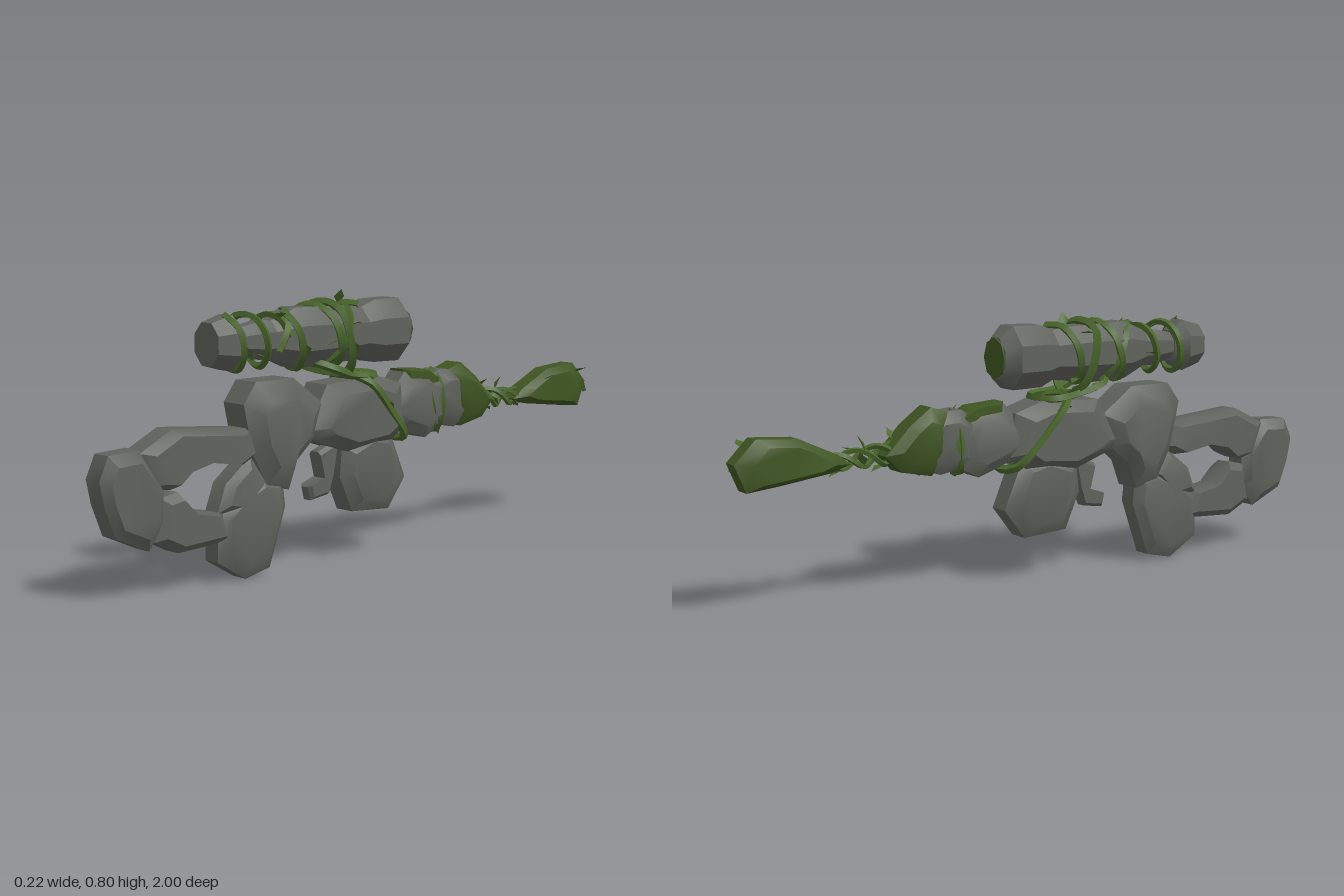
import * as THREE from 'three';
import { toCreasedNormals } from 'three/addons/utils/BufferGeometryUtils.js';

export function createModel() {
  const model = new THREE.Group();
  const stoneMat = new THREE.MeshStandardMaterial({ color: 0x5f625c });
  stoneMat.name = 'stone grey';
  const mossMat = new THREE.MeshStandardMaterial({ color: 0x3f5522 });
  mossMat.name = 'moss green';
  const vineMat = new THREE.MeshStandardMaterial({ color: 0x49662b });
  vineMat.name = 'vine green';
  const leafMat = new THREE.MeshStandardMaterial({ color: 0x49662b, side: THREE.DoubleSide });
  leafMat.name = 'leaf green';

  function add(name, geometry, material) {
    const mesh = new THREE.Mesh(geometry, material);
    mesh.name = name;
    model.add(mesh);
    return mesh;
  }

  // Chiselled stone: a side outline of [z, y] points, narrowed towards both flanks
  function stone(name, outline, w, material = stoneMat, inset = 0.62) {
    const pts = outline.map(([z, y]) => new THREE.Vector2(z, y));
    if (THREE.ShapeUtils.area(pts) < 0) pts.reverse();
    const n = pts.length;
    const mid = pts.reduce((s, p) => s.add(p), new THREE.Vector2()).divideScalar(n);
    const rings = [[-w, inset], [-w * 0.55, 1], [w * 0.55, 1], [w, inset]];
    const pos = [], idx = [];
    for (const [x, s] of rings) {
      for (const p of pts) pos.push(x, mid.y + (p.y - mid.y) * s, mid.x + (p.x - mid.x) * s);
    }
    for (let r = 0; r < 3; r++) {
      for (let i = 0; i < n; i++) {
        const j = (i + 1) % n, a = r * n, b = a + n;
        idx.push(a + i, b + i, b + j, a + i, b + j, a + j);
      }
    }
    for (const [a, b, c] of THREE.ShapeUtils.triangulateShape(pts, [])) {
      idx.push(a, b, c, 3 * n + a, 3 * n + c, 3 * n + b);
    }
    const g = new THREE.BufferGeometry();
    g.setAttribute('position', new THREE.Float32BufferAttribute(pos, 3));
    g.setIndex(idx);
    return add(name, toCreasedNormals(g, 0.65), material);
  }

  // Shoulder stock
  stone('buttStone', [[1, 0.34], [0.97, 0.405], [0.87, 0.41], [0.79, 0.31], [0.79, 0.2],
    [0.84, 0.13], [0.95, 0.18], [0.985, 0.27]], 0.055, stoneMat, 0.75);
  stone('stockUpperStone', [[0.87, 0.4], [0.76, 0.455], [0.48, 0.43], [0.45, 0.36], [0.51, 0.33],
    [0.63, 0.35], [0.72, 0.33], [0.77, 0.29], [0.84, 0.3]], 0.06, stoneMat, 0.8);
  stone('stockLowerStone', [[0.8, 0.27], [0.74, 0.28], [0.68, 0.22], [0.58, 0.2], [0.55, 0.12],
    [0.74, 0.11], [0.82, 0.15]], 0.05, stoneMat, 0.75);
  stone('gripLinkStone', [[0.6, 0.2], [0.57, 0.28], [0.48, 0.35], [0.41, 0.28], [0.5, 0.18]], 0.05);

  // Grip, trigger and magazine
  stone('gripStone', [[0.6, 0.19], [0.52, 0.25], [0.43, 0.29], [0.36, 0.28], [0.35, 0.19],
    [0.41, 0.02], [0.5, 0], [0.6, 0.06]], 0.05, stoneMat, 0.75);
  stone('triggerStone', [[0.21, 0.33], [0.13, 0.36], [0.15, 0.26], [0.17, 0.2], [0.24, 0.19],
    [0.25, 0.23], [0.19, 0.25]], 0.025, stoneMat, 0.85);
  stone('magazineStone', [[0.13, 0.34], [0.02, 0.38], [-0.07, 0.36], [-0.13, 0.22], [-0.06, 0.13],
    [0.09, 0.14], [0.14, 0.25]], 0.06, stoneMat, 0.7);

  // Receiver
  stone('receiverRearStone', [[0.515, 0.5], [0.47, 0.56], [0.33, 0.56], [0.22, 0.48], [0.25, 0.38],
    [0.32, 0.32], [0.35, 0.24], [0.43, 0.26], [0.485, 0.36]], 0.08);
  stone('receiverFrontStone', [[0.28, 0.4], [0.2, 0.53], [0, 0.54], [-0.1, 0.51], [-0.12, 0.38],
    [-0.06, 0.34], [0.12, 0.325], [0.25, 0.37]], 0.082, stoneMat, 0.7);

  // Barrel
  stone('barrelRearStone', [[-0.02, 0.42], [-0.13, 0.54], [-0.23, 0.53], [-0.3, 0.48], [-0.28, 0.36],
    [-0.22, 0.33], [-0.1, 0.37]], 0.058);
  stone('barrelMossPatch', [[-0.13, 0.547], [-0.23, 0.54], [-0.285, 0.51], [-0.28, 0.49],
    [-0.13, 0.51]], 0.045, mossMat, 0.8);
  stone('barrelMiddleStone', [[-0.22, 0.5], [-0.28, 0.535], [-0.36, 0.53], [-0.43, 0.46],
    [-0.41, 0.38], [-0.35, 0.35], [-0.24, 0.37]], 0.055);
  stone('barrelMossStone', [[-0.32, 0.53], [-0.38, 0.55], [-0.45, 0.5], [-0.53, 0.42],
    [-0.48, 0.37], [-0.38, 0.35], [-0.33, 0.4]], 0.056, mossMat);
  stone('muzzleMossStone', [[-0.64, 0.41], [-0.68, 0.44], [-0.8, 0.495], [-0.93, 0.505],
    [-0.995, 0.44], [-0.96, 0.36], [-0.86, 0.37], [-0.7, 0.39]], 0.046, mossMat, 0.7);

  // Scope: eight-sided stones turned around its sight line, given as [z, radius]
  const axisY = 0.672;
  function turned(name, profile, squash = 0.88) {
    const pts = profile.map(([z, r]) => new THREE.Vector2(r, z));
    const g = new THREE.LatheGeometry(pts, 8, Math.PI / 8);
    g.deleteAttribute('normal');
    g.rotateX(Math.PI / 2);
    g.scale(squash, 1, 1);
    g.translate(0, axisY, 0);
    return add(name, toCreasedNormals(g, 0.6), stoneMat);
  }
  turned('eyepieceStone', [[0.5, 0], [0.5, 0.05], [0.54, 0.085], [0.61, 0.065], [0.61, 0]]);
  turned('scopeNeckStone', [[0.36, 0], [0.36, 0.055], [0.42, 0.062], [0.5, 0.045], [0.52, 0]]);
  turned('scopeBodyStone', [[0, 0], [0, 0.075], [0.1, 0.088], [0.31, 0.094], [0.4, 0.055], [0.4, 0]]);
  turned('objectiveStone', [[-0.14, 0], [-0.14, 0.065], [-0.1, 0.102], [0, 0.1], [0.07, 0.07], [0.07, 0]]);
  const lens = add('objectiveMossLens', new THREE.CylinderGeometry(0.062, 0.062, 0.006, 8), mossMat);
  lens.rotation.x = Math.PI / 2;
  lens.scale.x = 0.88;
  lens.position.set(0, axisY, -0.142);

  // Leaf: a folded diamond pointing along +z
  const leafGeo = new THREE.BufferGeometry();
  leafGeo.setAttribute('position', new THREE.Float32BufferAttribute(
    [0, 0, 0, 0.016, 0.006, 0.025, 0, 0, 0.055, -0.016, 0.006, 0.025], 3));
  leafGeo.setIndex([0, 2, 1, 0, 3, 2]);
  leafGeo.computeVertexNormals();

  // Vine: angular tube along a path, with leaves growing between its ends
  function vine(name, points, radius, leaves = 0, closed = false) {
    const curve = new THREE.CatmullRomCurve3(points, closed);
    const g = new THREE.TubeGeometry(curve, points.length * 3, radius, 4, closed);
    add(name, toCreasedNormals(g, 0.8), vineMat);
    for (let i = 0; i < leaves; i++) {
      const t = (i + 0.6) / leaves;
      const p = curve.getPoint(t), dir = curve.getTangent(t);
      const leaf = add('leaf', leafGeo, leafMat);
      leaf.position.copy(p);
      const side = i % 2 ? 1 : -1;
      leaf.lookAt(p.x + dir.x * 0.5, p.y + dir.y * 0.6 + 0.5 * side, p.z + dir.z + 0.5 * side);
    }
  }
  // Winding path from [z, y, rx, ry] at one end to the same at the other
  function winding(a, b, turns, phase) {
    const n = Math.ceil(Math.abs(turns) * 7) + 1;
    return Array.from({ length: n + 1 }, (_, i) => {
      const t = i / n, ang = phase + turns * t * Math.PI * 2;
      const [z, y, rx, ry] = a.map((v, k) => v + (b[k] - v) * t);
      return new THREE.Vector3(Math.sin(ang) * rx, y + Math.cos(ang) * ry, z);
    });
  }

  vine('scopeVine', winding([0.36, 0.672, 0.085, 0.09], [0.06, 0.672, 0.085, 0.088], 2, 0.4), 0.013, 6);
  vine('scopeCrossVine', winding([0.4, 0.672, 0.07, 0.075], [0.1, 0.672, 0.086, 0.09], -1.3, 2), 0.012, 3);
  vine('eyepieceVine', winding([0.56, 0.672, 0.078, 0.082], [0.36, 0.672, 0.07, 0.07], 2.2, 0.2), 0.011, 6);
  vine('barrelVine', winding([-0.22, 0.44, 0.052, 0.1], [-0.5, 0.41, 0.04, 0.04], 2, 1), 0.012, 6);
  vine('barrelRingVine', winding([-0.27, 0.44, 0.05, 0.095], [-0.3, 0.44, 0.05, 0.09], 1, 0), 0.013);
  vine('muzzleVine', winding([-0.64, 0.415, 0.02, 0.02], [-0.975, 0.435, 0.044, 0.06], 2, 2), 0.009, 4);

  // Twisted stems bridging the gap before the muzzle
  for (let k = 0; k < 3; k++) {
    vine('bridgeVine', winding([-0.48, 0.425, 0.025, 0.03], [-0.68, 0.415, 0.02, 0.022], 1,
      k * 2.1), 0.009, 3);
  }

  // Closed bands tying the scope down to the receiver, mirrored across x
  function band(name, half, radius, leaves) {
    const pts = half.map((p) => new THREE.Vector3(...p));
    const back = pts.slice(1, -1).reverse().map((p) => new THREE.Vector3(-p.x, p.y, p.z));
    vine(name, [...pts, ...back], radius, leaves, true);
  }
  band('scopeBandVine', [[0, 0.765, 0.17], [0.078, 0.74, 0.17], [0.09, 0.61, 0.14],
    [0.045, 0.56, 0.12], [0, 0.55, 0.11]], 0.014, 3);
  band('receiverBandVine', [[0, 0.55, 0.1], [0.078, 0.53, 0.06], [0.08, 0.43, -0.03],
    [0.065, 0.355, -0.1], [0, 0.34, -0.12]], 0.013, 3);
  band('tieVine', [[0, 0.6, 0.24], [0.07, 0.58, 0.2], [0.06, 0.555, 0.12], [0.065, 0.545, 0.03],
    [0, 0.545, 0]], 0.013, 2);

  return model;
}
